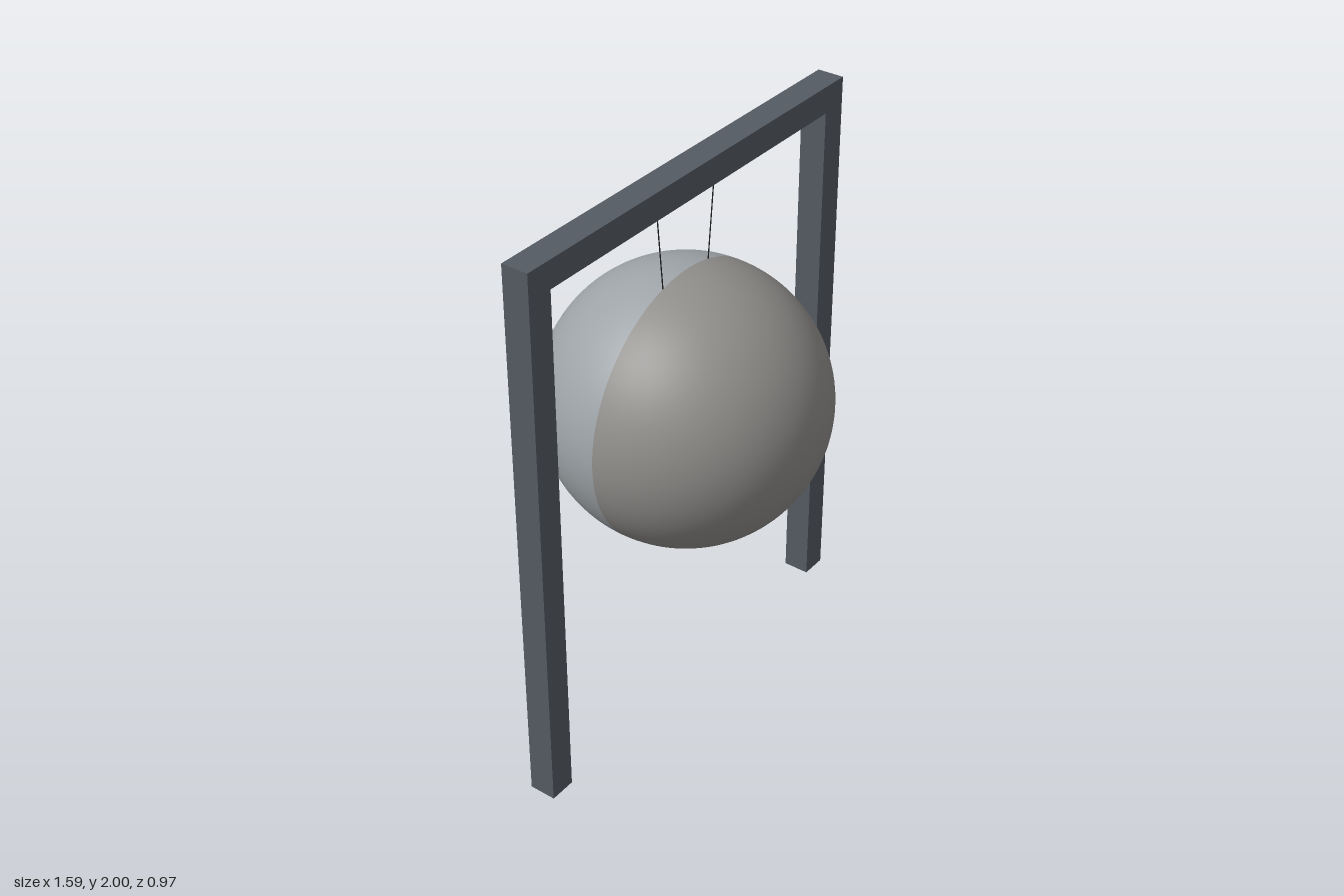
import * as THREE from 'three';

const mat = (color) => new THREE.MeshStandardMaterial({ color });

export function createModel() {
  const model = new THREE.Group();
  const add = (name, geometry, material) => {
    const mesh = new THREE.Mesh(geometry, material);
    mesh.name = name;
    model.add(mesh);
    return mesh;
  };

  // Square-section portal frame: two posts joined by a top beam
  const w = 0.795, bar = 0.095, h = 2;
  const outline = new THREE.Shape([
    [-w, 0], [-w + bar, 0], [-w + bar, h - bar], [w - bar, h - bar],
    [w - bar, 0], [w, 0], [w, h], [-w, h],
  ].map(([x, y]) => new THREE.Vector2(x, y)));
  const frame = new THREE.ExtrudeGeometry(outline, { depth: bar, bevelEnabled: false });
  frame.translate(0, 0, -bar / 2);
  add('frame', frame, mat(0x555b63));

  // Hanging ball made of two differently coloured halves
  const radius = 0.486, centreY = 1.142;
  const halves = [['frontHalf', 0, 0x908e8b], ['backHalf', Math.PI, 0x9da3a7]];
  for (const [name, start, color] of halves) {
    const half = new THREE.SphereGeometry(radius, 48, 64, start, Math.PI);
    add(name, half, mat(color)).position.y = centreY;
  }

  // Two thin cords from the beam to the ball, spreading slightly upwards
  const cordMaterial = mat(0x222222);
  for (const side of [-1, 1]) {
    const cord = new THREE.LineCurve3(
      new THREE.Vector3(side * 0.117, 1.6, 0),
      new THREE.Vector3(side * 0.148, h - bar + 0.005, 0),
    );
    add(side > 0 ? 'leftCord' : 'rightCord', new THREE.TubeGeometry(cord, 1, 0.002, 8), cordMaterial);
  }

  return model;
}
